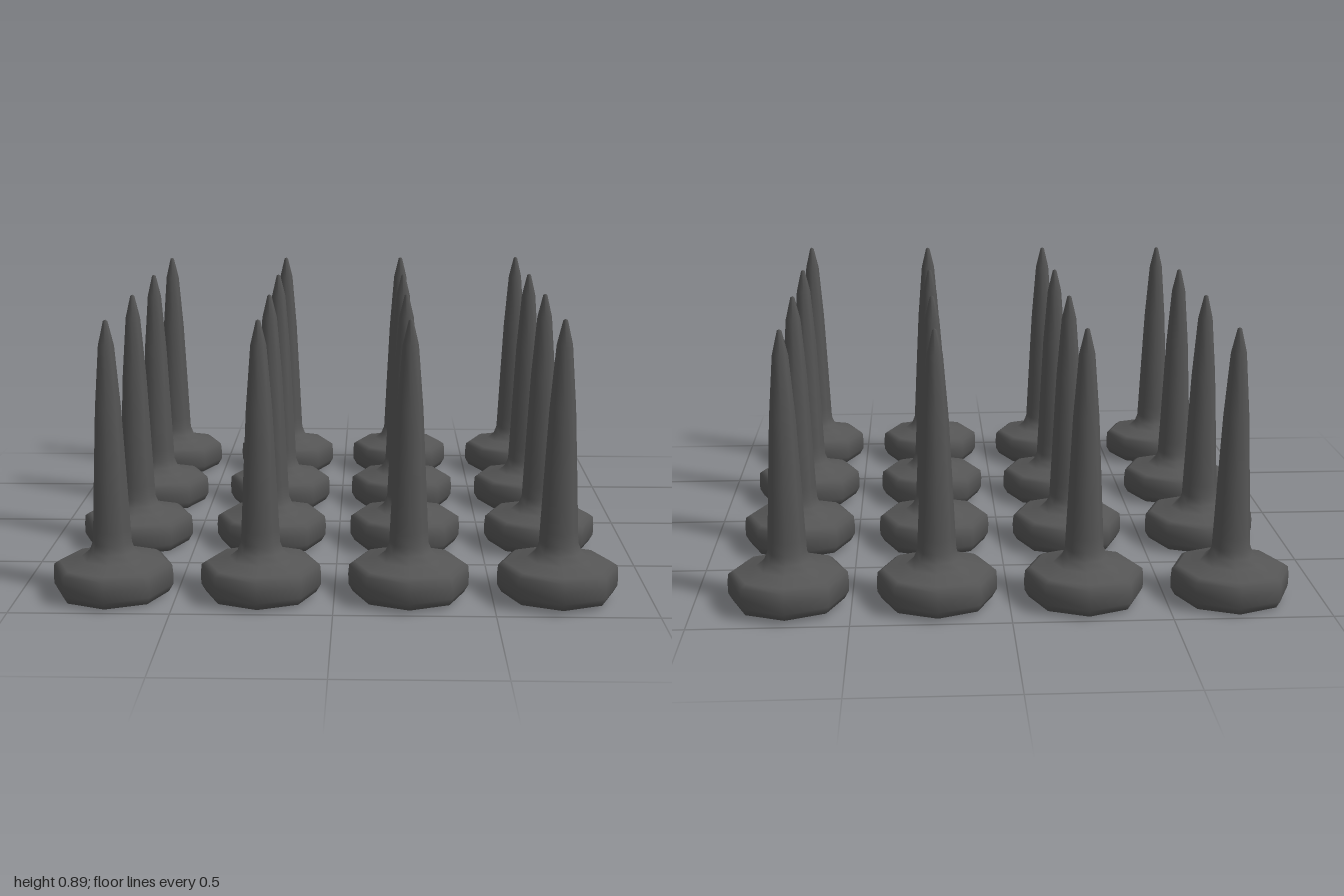
import * as THREE from 'three';

// Half-section of one spike, from the underside centre up to the tip: [radius, height]
const profile = [
  [0, 0], [0.15, 0], [0.176, 0.006], [0.19, 0.03], [0.191, 0.065], [0.188, 0.095], [0.17, 0.107],
  [0.1, 0.121], [0.073, 0.143], [0.062, 0.17], [0.06, 0.21], [0.051, 0.4],
  [0.041, 0.6], [0.025, 0.8], [0.007, 0.876], [0, 0.88],
].map(([r, y]) => new THREE.Vector2(r, y));

export function createModel() {
  const model = new THREE.Group();
  model.name = 'spikeTrap';

  const material = new THREE.MeshStandardMaterial({ color: 0x555555 });
  const spikeGeometry = new THREE.LatheGeometry(profile, 8);

  // Four by four grid of eight-sided spikes, very slightly skewed and tilted
  for (const z of [-0.807, -0.265, 0.265, 0.807]) {
    for (const x of [-0.706, -0.236, 0.232, 0.702]) {
      const spike = new THREE.Mesh(spikeGeometry, material);
      spike.name = 'spike';
      spike.position.set(x + 0.004 * z, 0.006 + 0.006 * x, z + 0.003 * x);
      model.add(spike);
    }
  }
  return model;
}
